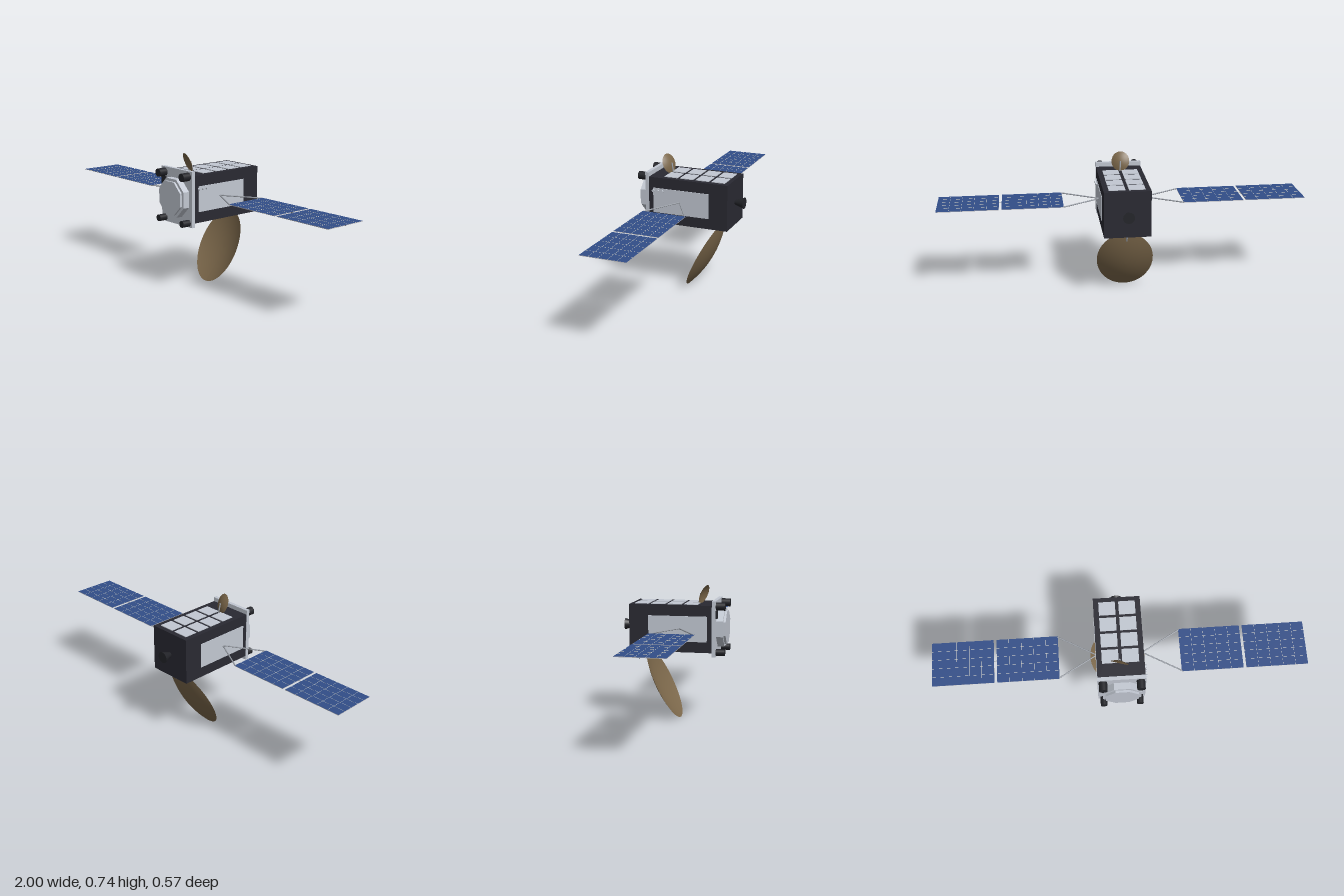
import * as THREE from 'three';

const mat = (name, color, side = THREE.FrontSide) => {
  const m = new THREE.MeshStandardMaterial({ color, side });
  m.name = name;
  return m;
};

export function createModel() {
  const root = new THREE.Group();
  root.name = 'satellite';
  const dark = mat('dark hull', 0x292932);
  const black = mat('black metal', 0x232429);
  const pale = mat('pale panel', 0xc2c8d2);
  const steel = mat('steel', 0x9a9fa7);
  const blue = mat('solar blue', 0x324e88);
  const backing = mat('panel backing', 0xbabac0);
  const cream = mat('cell line', 0xeee8d6);
  const bronze = mat('bronze dish', 0x7b674a, THREE.DoubleSide);
  const MID = 0.513;

  const add = (name, geo, material, x, y, z, parent = root) => {
    const m = new THREE.Mesh(geo, material);
    m.name = name;
    m.position.set(x, y, z);
    parent.add(m);
    return m;
  };
  const box = (name, material, w, h, d, x, y, z, parent) =>
    add(name, new THREE.BoxGeometry(w, h, d), material, x, y, z, parent);
  // cylinder lying along z, r1 at the front
  const zCylinder = (name, material, r1, r2, len, x, y, z, n = 24) =>
    add(name, new THREE.CylinderGeometry(r1, r2, len, n).rotateX(Math.PI / 2), material, x, y, z);
  const rod = (name, a, b, r, parent = root) => {
    const p = new THREE.Vector3(...a), q = new THREE.Vector3(...b);
    const m = add(name, new THREE.CylinderGeometry(r, r, p.distanceTo(q), 10), steel, 0, 0, 0, parent);
    m.position.copy(p).lerp(q, 0.5);
    m.quaternion.setFromUnitVectors(new THREE.Vector3(0, 1, 0), q.sub(p).normalize());
    return m;
  };

  // Hull and front plate
  box('hull', dark, 0.25, 0.254, 0.451, 0, 0.512, -0.0075);
  box('frontPlate', pale, 0.254, 0.3, 0.02, 0, 0.513, 0.228);

  // Stepped octagonal docking hub
  const octagon = (name, flat, z0, z1) => {
    const r = flat / Math.cos(Math.PI / 8);
    const g = new THREE.CylinderGeometry(r, r, z1 - z0, 8).toNonIndexed();
    g.rotateY(Math.PI / 8).rotateX(Math.PI / 2);
    g.computeVertexNormals();
    add(name, g, pale, 0, 0.512, (z0 + z1) / 2);
  };
  octagon('hubBase', 0.102, 0.238, 0.275);
  octagon('hubFace', 0.088, 0.275, 0.287);

  // Corner thrusters and sensor plate
  for (const x of [-0.098, 0.098]) {
    zCylinder('upperThruster', black, 0.022, 0.022, 0.048, x, 0.634, 0.262);
    zCylinder('lowerThruster', black, 0.018, 0.018, 0.048, x, 0.386, 0.262);
  }
  box('frontSensor', black, 0.034, 0.042, 0.008, -0.102, 0.59, 0.242);

  // Radiator tiles above and below
  for (const y of [0.6395, 0.3845])
    for (let row = 0; row < 4; row++)
      for (const x of [-0.053, 0.053])
        box('radiatorTile', pale, 0.088, 0.006, 0.075, x, y, 0.1 - row * 0.09);

  // Side panels
  for (const s of [-1, 1])
    box('sidePanel', pale, 0.006, 0.138, 0.319, s * 0.125, 0.512, 0.0325);

  // Side sensors on the left flank
  for (const z of [0.19, 0.164, 0.138])
    add('sideSensor', new THREE.CylinderGeometry(0.007, 0.007, 0.012, 16).rotateZ(Math.PI / 2),
      pale, 0.131, 0.566, z);

  // Rear engine bell
  zCylinder('engineBell', black, 0.012, 0.031, 0.053, 0, MID, -0.259, 32);

  // Dishes: a shallow paraboloid opening along its local y
  const dish = (name, rx, rz, depth, pos, tilt, yaw) => {
    const pts = [];
    for (let i = 0; i <= 12; i++) {
      const t = i / 12;
      pts.push(new THREE.Vector2(Math.max(t, 1e-4), depth * (t * t - 1)));
    }
    const g = new THREE.LatheGeometry(pts, 48);
    g.scale(rx, 1, rz);
    g.computeVertexNormals();
    const m = add(name, g, bronze, ...pos);
    m.rotation.order = 'YXZ';
    m.rotation.set(tilt, yaw, 0);
  };
  dish('mainDish', 0.155, 0.211, 0.037, [-0.005, 0.19, -0.063], 1.108, -0.05);
  dish('smallDish', 0.05, 0.054, 0.013, [-0.006, 0.687, 0.156], 1.925, -0.3);
  rod('smallDishStrut', [0, 0.635, 0.127], [-0.004, 0.692, 0.138], 0.004);
  rod('mainDishStrut', [0, 0.388, -0.2], [0, 0.348, -0.187], 0.005);

  // Solar wings
  for (const s of [-1, 1]) {
    const wing = new THREE.Group();
    wing.name = s > 0 ? 'leftWing' : 'rightWing';
    root.add(wing);
    const zc = 0.041, depth = 0.242, w = 0.33;
    for (const end of [-1, 1])
      rod('yokeArm', [s * 0.122, MID, zc], [s * 0.328, MID, zc + end * 0.117], 0.0035, wing);
    for (const x0 of [0.325, 0.67]) {
      const xc = s * (x0 + w / 2);
      box('solarPanel', [backing, backing, blue, backing, backing, backing],
        w, 0.003, depth, xc, MID, zc, wing);
      box('panelSpine', black, w, 0.002, 0.004, xc, MID - 0.002, zc, wing);
      // fine cell lines
      for (let i = 1; i < 5; i++) {
        box('cellLine', cream, 0.001, 0.0006, depth, xc - w / 2 + (w * i) / 5, MID + 0.0017, zc, wing);
        box('cellLine', cream, w, 0.0006, 0.001, xc, MID + 0.0017, zc - depth / 2 + (depth * i) / 5, wing);
      }
    }
    box('panelHinge', steel, 0.017, 0.003, 0.004, s * 0.6625, MID, zc, wing);
  }
  return root;
}
